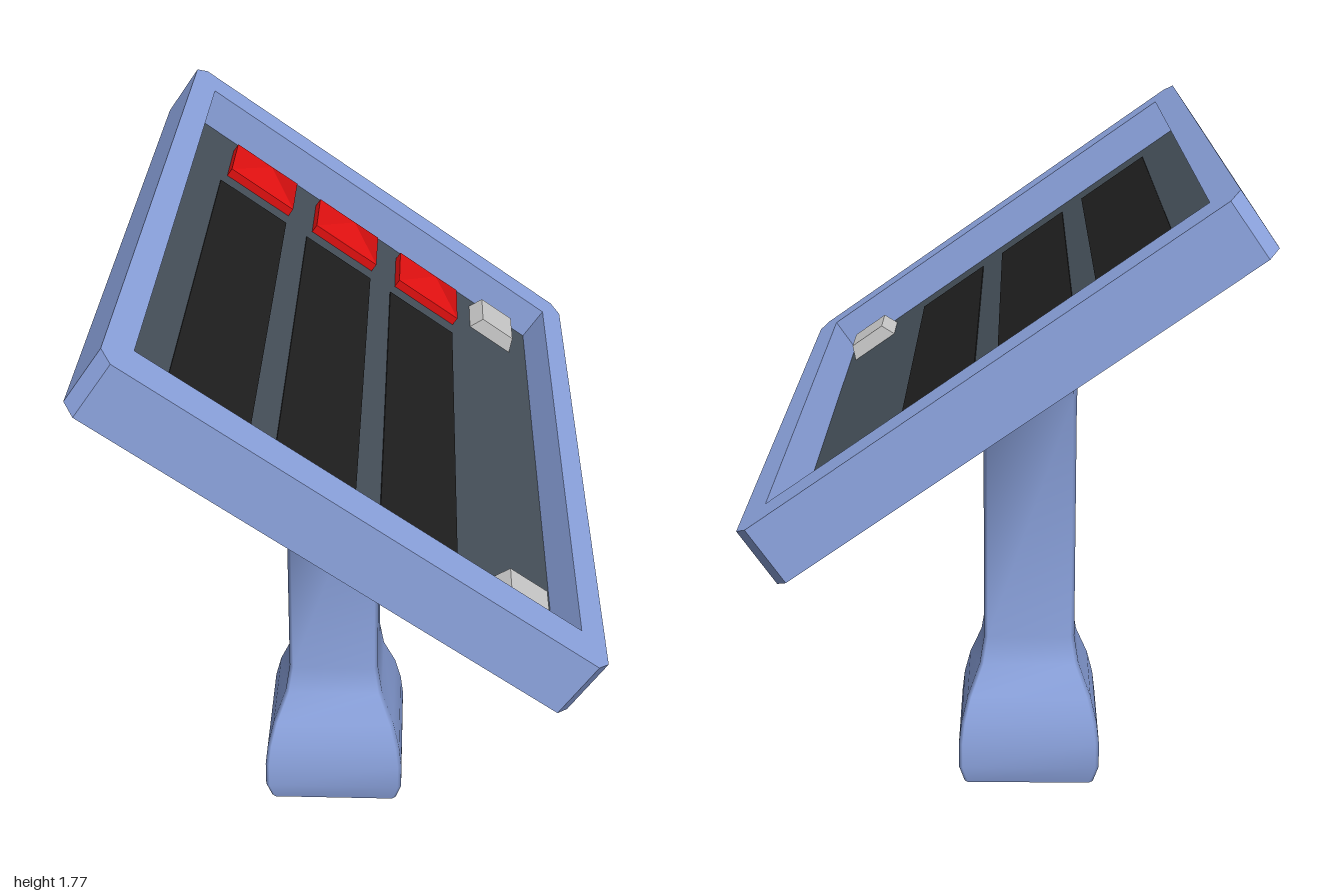
import * as THREE from 'three';

const mat = (color, opts = {}) => new THREE.MeshStandardMaterial({ color, ...opts });
const blue = mat(0x8ea6e2);
const blueSmooth = mat(0x8ea6e2);
const slate = mat(0x46505a);
const black = mat(0x1f1f1f);
const red = mat(0xe01010, { flatShading: true });
const grey = mat(0xcccccc, { flatShading: true });

const TILT = 0.61;
const CENTRE_Y = 1.33;
const THICK = 0.152;
const FLOOR = -0.024; // recess floor, in the tilted frame

function add(parent, name, geometry, material, x = 0, y = 0, z = 0) {
  const mesh = new THREE.Mesh(geometry, material);
  mesh.name = name;
  mesh.position.set(x, y, z);
  parent.add(mesh);
  return mesh;
}

// Rectangle with cut corners, as [x, z] pairs
function cutRect(w, d, cx, cz) {
  return [
    [w, -d + cz], [w, d - cz], [w - cx, d], [-w + cx, d],
    [-w, d - cz], [-w, -d + cz], [-w + cx, -d], [w - cx, -d],
  ];
}

// Flat slab standing on y = 0, with an optional rectangular opening
function slab(height, hole) {
  const shape = new THREE.Shape(cutRect(0.668, 1, 0.03, 0.04).map(([x, z]) => new THREE.Vector2(x, z)));
  if (hole) {
    const [w, d] = hole;
    shape.holes.push(new THREE.Path([[-w, -d], [-w, d], [w, d], [w, -d]].map(([x, z]) => new THREE.Vector2(x, z))));
  }
  return new THREE.ExtrudeGeometry(shape, { depth: height, bevelEnabled: false }).rotateX(-Math.PI / 2);
}

// Box standing on y = 0 whose upper face is scaled in x and z
function taperedBox(w, h, d, sx, sz) {
  const g = new THREE.BoxGeometry(w, h, d).translate(0, h / 2, 0);
  const p = g.attributes.position;
  for (let i = 0; i < p.count; i++) {
    if (p.getY(i) > h / 2) p.setXYZ(i, p.getX(i) * sx, h, p.getZ(i) * sz);
  }
  g.computeVertexNormals();
  return g;
}

// Smooth skin through rings of equal point count
function loft(rings) {
  const n = rings[0].length;
  const index = [];
  for (let r = 0; r < rings.length - 1; r++) {
    for (let i = 0; i < n; i++) {
      const a = r * n + i, b = r * n + (i + 1) % n;
      index.push(a, a + n, b, b, a + n, b + n);
    }
  }
  const g = new THREE.BufferGeometry();
  g.setAttribute('position', new THREE.Float32BufferAttribute(rings.flat(2), 3));
  g.setIndex(index);
  g.computeVertexNormals();
  return g;
}

function makeStem() {
  const stem = new THREE.Group();
  stem.name = 'stem';
  const cx = -0.067;
  // Height and half width of the foot and shaft
  const profile = [
    [0, 0.177], [0.05, 0.192], [0.12, 0.192], [0.18, 0.185], [0.25, 0.168],
    [0.335, 0.135], [0.41, 0.123], [1.08, 0.123],
  ];
  const rings = profile.map(([y, r]) => cutRect(r, r, 0.01, 0.01).map(([x, z]) => [x + cx, y, z]));
  // Flared head, cut to the slope of the panel's underside
  const under = (x) => CENTRE_Y - THICK / 2 / Math.cos(TILT) - x * Math.tan(TILT) + 0.012;
  rings.push(cutRect(0.157, 0.45, 0.01, 0.03).map(([x, z]) => [x - 0.037, under(x - 0.037), z]));
  add(stem, 'handle', loft(rings), blueSmooth);
  // Flat sole
  const sole = new THREE.Shape(cutRect(0.177, 0.177, 0.01, 0.01).map(([x, z]) => new THREE.Vector2(x, z)));
  add(stem, 'sole', new THREE.ShapeGeometry(sole).rotateX(Math.PI / 2), blue, cx, 0, 0);
  return stem;
}

function makePanel() {
  const panel = new THREE.Group();
  panel.name = 'panel';
  panel.position.y = CENTRE_Y;
  panel.rotation.z = -TILT;

  // Tray: back plate, raised rim and dark floor
  add(panel, 'backPlate', slab(THICK / 2 + FLOOR), blue, 0, -THICK / 2, 0);
  add(panel, 'rim', slab(THICK / 2 - FLOOR, [0.598, 0.885]), blue, 0, FLOOR, 0);
  add(panel, 'recessFloor', new THREE.PlaneGeometry(1.196, 1.77).rotateX(-Math.PI / 2), slate, 0, FLOOR + 0.001, 0);

  // Three rows, each a dark strip and a peaked button
  for (let i = 0; i < 3; i++) {
    const x = -0.368 + i * 0.29;
    add(panel, 'strip', new THREE.BoxGeometry(0.22, 0.004, 1.315), black, x, FLOOR + 0.002, 0.107);
    const button = new THREE.Group();
    button.name = 'button';
    button.position.set(x + 0.01, FLOOR, -0.72);
    add(button, 'buttonBase', taperedBox(0.208, 0.025, 0.208, 1, 1), red);
    const peak = new THREE.ConeGeometry(0.208 / Math.SQRT2, 0.035, 4, 1, true).rotateY(Math.PI / 4);
    add(button, 'buttonPeak', peak, red, 0, 0.0425, 0);
    panel.add(button);
  }

  // Two small tapered switches near the lower edge
  for (const [x, z] of [[0.463, -0.762], [0.503, 0.755]]) {
    add(panel, 'switch', taperedBox(0.145, 0.042, 0.15, 0.75, 0.98), grey, x, FLOOR, z);
  }
  return panel;
}

export function createModel() {
  const model = new THREE.Group();
  model.name = 'panelOnStand';
  model.add(makeStem(), makePanel());
  return model;
}
